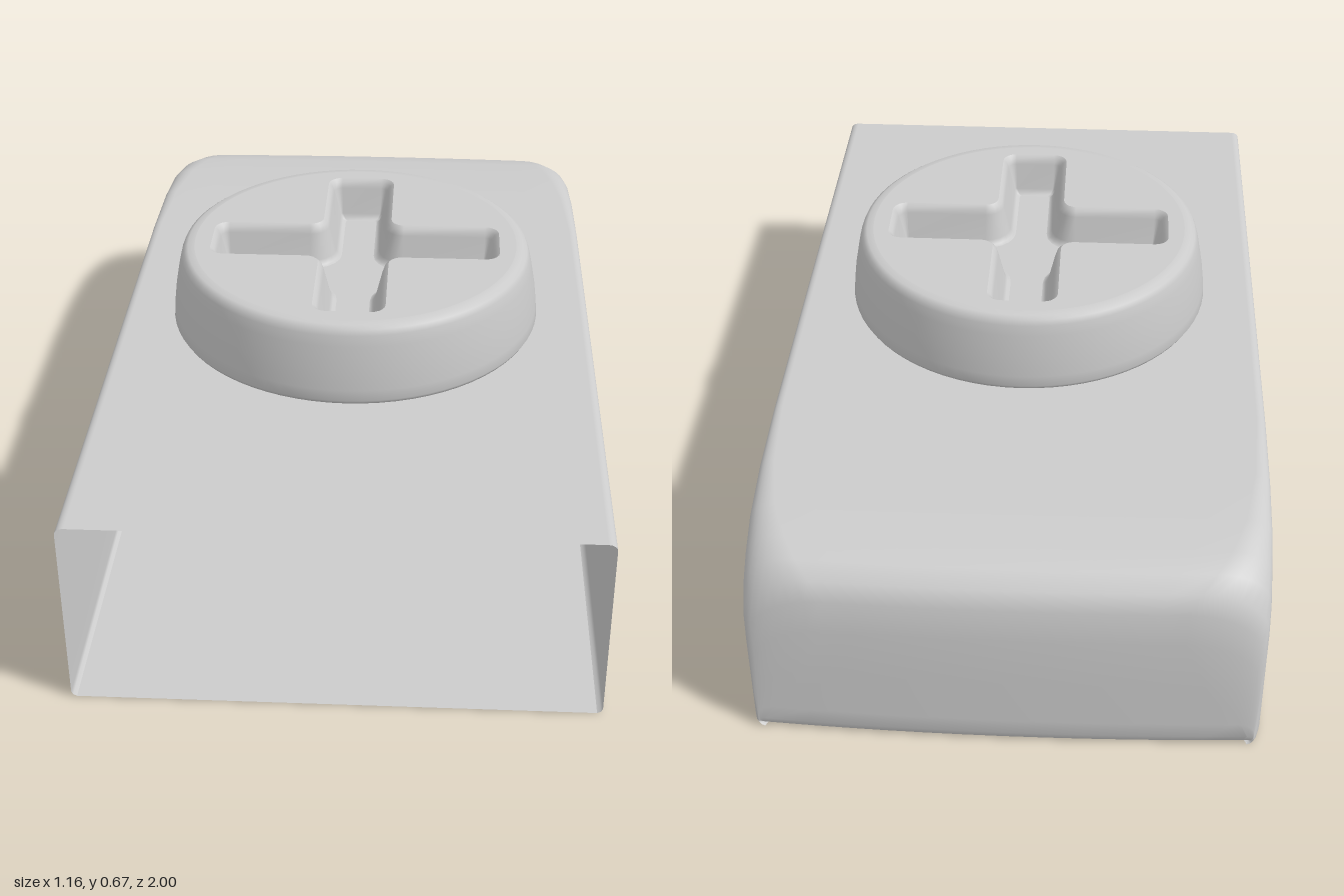
import * as THREE from 'three';

const material = new THREE.MeshStandardMaterial({ color: 0xcccccc, side: THREE.DoubleSide });
const SCREW_Z = 0.1;

function part(name, geometry, parent) {
  const mesh = new THREE.Mesh(geometry, material);
  mesh.name = name;
  parent.add(mesh);
  return mesh;
}

// Surface through rows of equally many points
function loft(rows) {
  const n = rows[0].length, index = [];
  for (let i = 0; i < rows.length - 1; i++) {
    for (let j = 0; j < n - 1; j++) {
      const a = i * n + j, b = a + n;
      index.push(a, b, a + 1, a + 1, b, b + 1);
    }
  }
  const g = new THREE.BufferGeometry().setFromPoints(rows.flat());
  g.setIndex(index);
  g.computeVertexNormals();
  return g;
}

const lathe = (points, segments = 72) =>
  new THREE.LatheGeometry(points.map(([r, y]) => new THREE.Vector2(r, y)), segments);

// Arch-shaped section of the shell: rounded sides and top, open underneath
function shellSection([z, a, h, r]) {
  const edge = 0.012, half = [];
  const ry = Math.min(r * 0.75, h - edge - 0.004);
  half.push([a - edge, 0], [a - 0.004, 0.004], [a, edge]);
  for (let k = 1; k < 4; k++) half.push([a, edge + (h - ry - edge) * k / 4]);
  for (let k = 0; k <= 8; k++) {
    const t = k / 8 * Math.PI / 2;
    half.push([a - r + r * Math.cos(t), h - ry + ry * Math.sin(t)]);
  }
  for (let k = 1; k <= 6; k++) half.push([(a - r) * (1 - k / 6), h]);
  const mirrored = half.slice(0, -1).reverse().map(([x, y]) => [-x, y]);
  const k = THREE.MathUtils.smoothstep(-z, 0.7, 1);
  return [...half, ...mirrored].map(([x, y]) =>
    new THREE.Vector3(x, y, z + 0.018 * k * (x / 0.58) ** 2));
}

// Rounded plus-shaped outline, grown by d
function crossOutline(d) {
  const L = 0.335 + d, w = 0.07 + d, c = Math.max(0.02 + d, 0.006), f = 0.045 - d;
  const points = [];
  const arc = (cx, cy, r, from, to, turn) => {
    for (let k = 0; k <= 5; k++) {
      const t = from + (to - from) * k / 5;
      points.push(new THREE.Vector2(cx + r * Math.cos(t), cy + r * Math.sin(t))
        .rotateAround(new THREE.Vector2(), turn));
    }
  };
  const q = Math.PI / 2;
  for (let arm = 0; arm < 4; arm++) {
    arc(L - c, c - w, c, -q, 0, arm * q);
    arc(L - c, w - c, c, 0, q, arm * q);
    arc(w + f, w + f, f, 3 * q, 2 * q, arm * q);
  }
  return points;
}

function buildShell() {
  const shell = new THREE.Group();
  shell.name = 'shell';

  // z, half width, height, top corner radius
  const rows = [
    [1, 0.58, 0.455, 0.02], [0.5, 0.58, 0.455, 0.02], [0, 0.58, 0.455, 0.02],
    [-0.4, 0.58, 0.455, 0.022], [-0.6, 0.579, 0.455, 0.035], [-0.75, 0.577, 0.451, 0.06],
    [-0.85, 0.573, 0.443, 0.09], [-0.91, 0.571, 0.43, 0.12], [-0.95, 0.568, 0.405, 0.15],
    [-0.97, 0.564, 0.365, 0.17], [-0.983, 0.56, 0.29, 0.17], [-0.992, 0.557, 0.17, 0.12],
    [-0.997, 0.553, 0.06, 0.04], [-1, 0.55, 0.025, 0.015],
  ].map(shellSection);
  // Tuck the lower back edge under
  const tuck = rows[rows.length - 1].map((p) => new THREE.Vector3(p.x * 0.99, 0, p.z + 0.012));
  rows.push(tuck);
  part('shellWalls', loft(rows), shell);

  // Floor with the screw hole
  const outline = [
    ...rows.map((r) => r[0]), ...tuck.slice(1, -1),
    ...rows.map((r) => r[r.length - 1]).reverse(),
  ].map((p) => new THREE.Vector2(p.x, p.z));
  const floor = new THREE.Shape(outline);
  floor.holes.push(new THREE.Path().absarc(0, SCREW_Z, 0.3, 0, Math.PI * 2, true));
  part('shellFloor', new THREE.ShapeGeometry(floor, 36).rotateX(Math.PI / 2), shell);

  // Flared sleeve joining floor and top
  part('screwSleeve', lathe([
    [0.3, 0], [0.26, 0.004], [0.235, 0.011], [0.22, 0.025], [0.212, 0.05], [0.208, 0.15],
    [0.212, 0.25], [0.222, 0.32], [0.238, 0.4], [0.248, 0.44], [0.258, 0.454],
  ]), shell).position.z = SCREW_Z;
  return shell;
}

function buildScrew() {
  const screw = new THREE.Group();
  screw.name = 'screw';
  screw.position.z = SCREW_Z;

  // Shank, neck and tapered head
  part('screwBody', lathe([
    [0, 0.05], [0.196, 0.05], [0.2, 0.054], [0.2, 0.43], [0.21, 0.456], [0.225, 0.467],
    [0.26, 0.473], [0.425, 0.48], [0.44, 0.484], [0.446, 0.494], [0.444, 0.52],
    [0.438, 0.57], [0.428, 0.625], [0.422, 0.65], [0.416, 0.663], [0.406, 0.67], [0.39, 0.672],
  ]), screw);

  // Head face with the cross cut out
  const face = new THREE.Shape().absarc(0, 0, 0.39, 0, Math.PI * 2);
  face.holes.push(new THREE.Path(crossOutline(0.014)));
  part('headFace', new THREE.ShapeGeometry(face, 36).rotateX(-Math.PI / 2), screw).position.y = 0.672;

  // Recess walls, floor upwards, with softened rims
  const rings = [
    [-0.03, 0.57], [-0.022, 0.573], [-0.016, 0.585], [0, 0.65], [0.005, 0.664], [0.014, 0.672],
  ].map(([d, y]) => {
    const ring = crossOutline(d).map((p) => new THREE.Vector3(p.x, y, -p.y));
    return [...ring, ring[0].clone()];
  });
  part('crossRecess', loft(rings), screw);
  const base = new THREE.ShapeGeometry(new THREE.Shape(crossOutline(-0.03)));
  part('crossFloor', base.rotateX(-Math.PI / 2), screw).position.y = 0.57;
  return screw;
}

export function createModel() {
  const model = new THREE.Group();
  model.name = 'screwedEndCap';
  model.add(buildShell(), buildScrew());
  return model;
}
